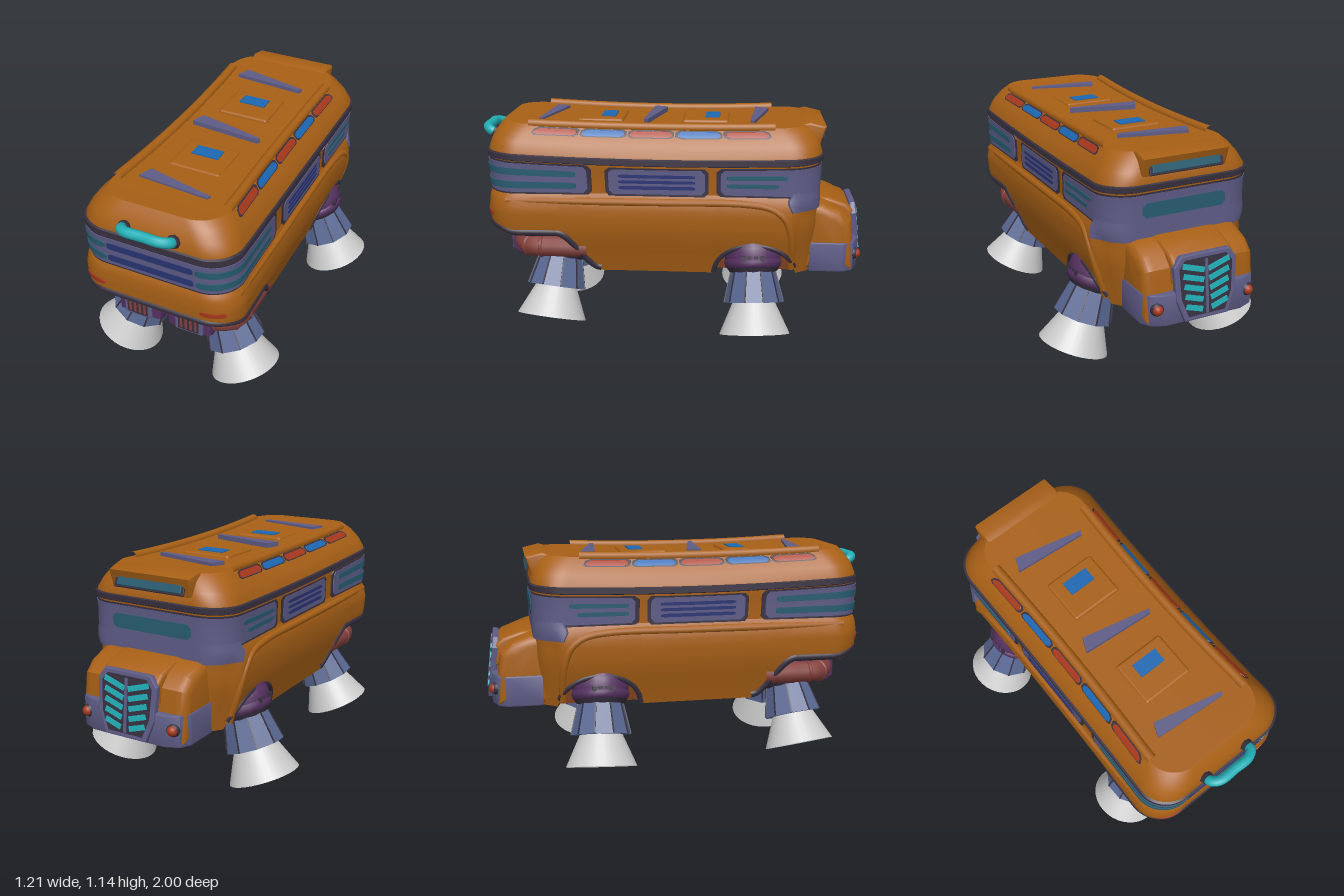
import * as THREE from 'three';
import { toCreasedNormals } from 'three/addons/utils/BufferGeometryUtils.js';
import { RoundedBoxGeometry } from 'three/addons/geometries/RoundedBoxGeometry.js';

const C = { orange: 0xa86016, brown: 0x7a3d1c, dark: 0x37303f, frame: 0x5e5c86, slate: 0x586792, purple: 0x553060,
  red: 0x84403c, lamp: 0xa8381c, cyan: 0x22b0b8, blue: 0x1c68b4, glass: 0x2a3474, teal: 0x285c70, grey: 0xcccccc };
const mats = {};
const mat = (c) => (mats[c] ??= new THREE.MeshStandardMaterial({ color: C[c] }));
const V = (x, y, z) => new THREE.Vector3(x, y, z);
const sm = THREE.MathUtils.smoothstep;

function add(parent, name, geo, color, p = [0, 0, 0], r = [0, 0, 0]) {
  const m = new THREE.Mesh(geo, mat(color));
  m.name = name;
  m.position.set(...p);
  m.rotation.set(...r);
  parent.add(m);
  return m;
}

// Body silhouette: height, half width, +z end, -z end
const PROFILE = [[0.36, 0.35, 0.9, -0.75], [0.46, 0.378, 0.91, -0.75], [0.56, 0.408, 0.92, -0.75], [0.62, 0.418, 0.93, -0.755], [0.70, 0.422, 0.935, -0.755],
  [0.76, 0.41, 0.93, -0.755], [0.79, 0.395, 0.915, -0.755], [0.93, 0.395, 0.922, -0.755], [0.97, 0.402, 0.925, -0.765],
  [1.0, 0.398, 0.925, -0.765], [1.05, 0.375, 0.91, -0.75], [1.1, 0.342, 0.88, -0.725], [1.13, 0.312, 0.855, -0.7]];

// Point on the body skin. s runs from the +z centre (0) along +x to the -z centre (1), negative s is the -x side.
function skin(s, y, off = 0) {
  if (s > 1) s -= 2;
  const a = Math.abs(s), sg = Math.sign(s), R = 0.16;
  let i = 0;
  while (i < PROFILE.length - 2 && y > PROFILE[i + 1][0]) i++;
  const A = PROFILE[i], B = PROFILE[i + 1];
  const k = THREE.MathUtils.clamp((y - A[0]) / (B[0] - A[0]), 0, 1);
  const hw = A[1] + (B[1] - A[1]) * k + off, z0 = A[2] + (B[2] - A[2]) * k + off, z1 = A[3] + (B[3] - A[3]) * k - off;
  let x, z;
  if (a < 0.12) { x = (hw - R) * a / 0.12; z = z0; }
  else if (a < 0.25) { const t = (a - 0.12) / 0.13 * Math.PI / 2; x = hw - R + R * Math.sin(t); z = z0 - R + R * Math.cos(t); }
  else if (a < 0.8) { x = hw; z = z0 - R + (z1 - z0 + 2 * R) * (a - 0.25) / 0.55; }
  else if (a < 0.9) { const t = (a - 0.8) / 0.1 * Math.PI / 2; x = hw - R + R * Math.cos(t); z = z1 + R - R * Math.sin(t); }
  else { x = (hw - R) * (1 - a) / 0.1; z = z1; }
  const mid = Math.max(0, 1 - (z / 0.85) ** 2);
  x *= 1 - (0.03 + 0.07 * sm(y, 0.97, 1.13)) * mid;
  x *= 1 - 0.07 * sm(-z, 0.61, 0.68) * (1 - sm(y, 0.7, 0.78)); // cowl behind the fender
  return V(sg * x, y - 0.025 * sm(y, 0.8, 0.95) * mid, z);
}
const sOf = (z) => 0.25 + (0.77 - z) / 1.37 * 0.55;

// Lower edge: raised over the engines, arched over the other thrusters
function bottom(z) {
  const d = (z + 0.44) / 0.21;
  if (Math.abs(d) < 1) return 0.365 + 0.16 * Math.sqrt(1 - d * d);
  return 0.365 + 0.2 * sm(z, 0.37, 0.57) + 0.035 * sm(z, 0.78, 0.92);
}
const edge = (s, lift = 0, off = 0) => skin(s, bottom(skin(s, 0.56).z) + lift, off);

function grid(nu, nv, fn) {
  const pos = [], idx = [];
  for (let j = 0; j <= nv; j++) for (let i = 0; i <= nu; i++) pos.push(...fn(i, j).toArray());
  for (let j = 0; j < nv; j++) for (let i = 0; i < nu; i++) {
    const a = j * (nu + 1) + i, c = a + nu + 1;
    idx.push(a, a + 1, c, a + 1, c + 1, c);
  }
  const g = new THREE.BufferGeometry();
  g.setAttribute('position', new THREE.Float32BufferAttribute(pos, 3));
  g.setIndex(idx);
  return toCreasedNormals(g, 0.5);
}

// Raised panel hugging the skin, with chamfered corners
function panel(g, name, color, s0, s1, y0, y1, off, inset = 0.02) {
  const n = Math.max(4, Math.ceil((s1 - s0) * 90)), e = Math.min(0.008, (s1 - s0) / 5);
  const cols = [[s0, inset, 1], [s0, inset, 0]];
  for (let i = 0; i <= n; i++) cols.push([s0 + e + (s1 - s0 - 2 * e) * i / n, 0, 0]);
  cols.push([s1, inset, 0], [s1, inset, 1]);
  const rows = [[0, 1], [0, 0], [0.33, 0], [0.67, 0], [1, 0], [1, 1]];
  return add(g, name, grid(cols.length - 1, 5, (i, j) => {
    const [s, q, sink] = cols[i], [t, rs] = rows[j];
    return skin(s, y0 + q + (y1 - y0 - 2 * q) * t, sink || rs ? -0.015 : off);
  }), color);
}
function tube(g, name, color, pts, r, n = 48) {
  return add(g, name, new THREE.TubeGeometry(new THREE.CatmullRomCurve3(pts), n, r, 10), color);
}
const path = (s0, s1, n, fn) => Array.from({ length: n + 1 }, (_, i) => fn(s0 + (s1 - s0) * i / n));
const shape = (pts) => new THREE.Shape(pts.map((p) => new THREE.Vector2(...p)));

// Extrude a (z, y) side profile across x
function across(pts, hw, bevel) {
  const sh = shape(pts.map(([z, y]) => [-z, y]));
  const e = new THREE.ExtrudeGeometry(sh, { depth: 2 * (hw - bevel), bevelThickness: bevel, bevelSize: bevel, bevelOffset: -bevel, bevelSegments: 3 });
  return toCreasedNormals(e.translate(0, 0, -hw + bevel).rotateY(Math.PI / 2), 0.6);
}

const nozzleMat = new THREE.MeshStandardMaterial({ color: 0xcccccc, side: THREE.DoubleSide });
function thruster(foot, dir) {
  const g = new THREE.Group();
  g.name = 'thruster';
  add(g, 'nozzle', new THREE.CylinderGeometry(0.1, 0.18, 0.18, 32, 1, true), 'grey', [0, 0.09, 0]).material = nozzleMat;
  add(g, 'igniter', new THREE.SphereGeometry(0.06, 16, 10), 'purple', [0, 0.16, 0]);
  const skirt = new THREE.CylinderGeometry(0.115, 0.152, 0.16, 10).toNonIndexed();
  skirt.computeVertexNormals();
  add(g, 'skirt', skirt, 'slate', [0, 0.24, 0]);
  for (let i = 0; i < 10; i++) {
    const a = i / 10 * Math.PI * 2, rib = add(g, 'skirtRib', new THREE.BoxGeometry(0.007, 0.16, 0.008), 'dark');
    rib.position.set(Math.sin(a) * 0.133, 0.24, Math.cos(a) * 0.133);
    rib.rotation.set(-0.23, a, 0, 'YXZ');
  }
  add(g, 'collar', new THREE.CylinderGeometry(0.135, 0.12, 0.02, 24), 'dark', [0, 0.327, 0]);
  add(g, 'hubRing', new THREE.TorusGeometry(0.112, 0.036, 10, 32), 'purple', [0, 0.365, 0], [Math.PI / 2, 0, 0]);
  add(g, 'hub', new THREE.SphereGeometry(0.145, 24, 16), 'purple', [0, 0.405, 0]);
  g.position.copy(foot);
  g.quaternion.setFromUnitVectors(V(0, 1, 0), dir.normalize());
  return g;
}

export function createModel() {
  const g = new THREE.Group();
  g.name = 'rocketBus';
  const N = 240, sAt = (i) => -1 + 2 * i / N;

  // Body shell
  const upper = PROFILE.slice(6).map((p) => p[0]);
  add(g, 'lowerBody', grid(N, 10, (i, j) => {
    const b = edge(sAt(i)).y;
    return skin(sAt(i), b + (0.79 - b) * j / 10);
  }), 'orange');
  add(g, 'upperBody', grid(N, upper.length - 1, (i, j) => skin(sAt(i), upper[j])), 'orange');
  add(g, 'roof', grid(N / 2, 2, (i, j) => { const p = skin(2 * i / N, 1.13); p.x *= 1 - j; return p; }), 'orange');
  add(g, 'underside', grid(N / 2, 2, (i, j) => { const p = edge(2 * i / N); p.x *= j - 1; return p; }), 'brown');
  add(g, 'floor', new THREE.BoxGeometry(0.54, 0.22, 1.09), 'brown', [0, 0.475, -0.165]);
  add(g, 'belt', grid(N, 3, (i, j) => skin(sAt(i), [0.952, 0.962, 0.988, 1.0][j], [-0.01, 0.008, 0.008, -0.01][j])), 'dark');
  const sr = sOf(0.37);
  tube(g, 'lowerTrim', 'dark', path(-sr, sr, 90, (s) => edge(s, 0.018, -0.01)), 0.02, 150);

  // Windows wrapping both ends
  const w = sOf(0.39), f = sOf(-0.24);
  panel(g, 'tailWindowFrame', 'dark', -w, w, 0.785, 0.955, 0.004);
  panel(g, 'tailWindow', 'frame', -w + 0.008, w - 0.008, 0.794, 0.947, 0.008);
  for (const y of [0.815, 0.885]) {
    panel(g, 'tailGlass', 'glass', -0.108, 0.108, y, y + 0.035, 0.012, 0.005);
    for (const m of [1, -1]) panel(g, 'tailSideGlass', 'teal', ...[m * 0.114, m * (w - 0.03)].sort((a, b) => a - b), y, y + 0.035, 0.012, 0.005);
  }
  panel(g, 'windshieldFrame', 'dark', f, 2 - f, 0.785, 0.95, 0.004);
  panel(g, 'windshieldSurround', 'frame', f + 0.008, 2 - f - 0.008, 0.794, 0.942, 0.008);
  panel(g, 'windshieldSill', 'frame', 0.8, 1.2, 0.715, 0.81, 0.008, 0.04);
  panel(g, 'windshield', 'teal', 0.91, 1.09, 0.825, 0.9, 0.013, 0.02);

  for (const m of [1, -1]) {
    const side = (name, c, z0, z1, ...rest) => {
      const a = m * sOf(z0), b = m * sOf(z1);
      panel(g, name, c, Math.min(a, b), Math.max(a, b), ...rest);
    };
    // Side windows with slats
    side('sideWindowFrame', 'dark', 0.32, -0.2, 0.782, 0.948, 0.004);
    side('sideWindow', 'frame', 0.3, -0.18, 0.792, 0.94, 0.009);
    side('cabWindow', 'teal', -0.29, -0.58, 0.885, 0.91, 0.013, 0.004);
    side('cabWindow', 'teal', -0.29, -0.54, 0.835, 0.86, 0.013, 0.004);
    for (let i = 0; i < 3; i++) side('windowSlat', 'glass', 0.25, -0.13, 0.818 + i * 0.037, 0.838 + i * 0.037, 0.013, 0.004);
    // Roof rail and lights
    for (let i = 0; i < 5; i++) {
      const z = 0.72 - i * 0.255;
      side('roofLightFrame', 'dark', z + 0.012, z - 0.235, 1.085, 1.121, 0.001, 0.008);
      side('roofLight', i % 2 ? 'blue' : 'lamp', z, z - 0.223, 1.09, 1.116, 0.004, 0.008);
    }
    tube(g, 'roofRail', 'orange', path(m * 0.235, m * 0.8, 24, (s) => skin(s, 1.13, -0.015)), 0.025);
    // Fender ridge and wheel arch
    const ridge = [[0.85, 0.75], [0.4, 0.75], [0, 0.75], [-0.4, 0.75], [-0.53, 0.73], [-0.6, 0.68], [-0.635, 0.58], [-0.645, 0.4]];
    tube(g, 'fenderRidge', 'orange', ridge.map(([z, y]) => skin(m * sOf(z), y, -0.01)), 0.02);
    tube(g, 'archTrim', 'dark', path(m * sOf(-0.23), m * sOf(-0.655), 28, (s) => edge(s, 0.006, -0.003)), 0.013);
    // Tail lamps
    panel(g, 'tailLamp', 'lamp', ...[m * 0.115, m * 0.18].sort((a, b) => a - b), 0.66, 0.685, 0.004, 0.004);

    // Thrusters
    g.add(thruster(V(m * 0.34, 0.095, 0.622), V(m * -0.38, 0.91, -0.11)));
    g.add(thruster(V(m * 0.435, 0.072, -0.447), V(m * -0.36, 0.93, 0.04)));
    for (let i = 0; i < 4; i++) add(g, 'hubVent', new THREE.BoxGeometry(0.02, 0.025, 0.02), 'dark', [m * 0.422, 0.475, -0.38 - i * 0.032], [0, 0, m * 0.2]);

    // Engine block, vent and exhaust pipe
    const block = [[0.5, 0.43], [0.5, 0.55], [0.8, 0.555], [0.835, 0.53], [0.835, 0.435], [0.8, 0.41]];
    add(g, 'engineBlock', across(block, 0.115, 0.015), 'purple', [m * 0.135, 0, 0]);
    add(g, 'ventFrame', new RoundedBoxGeometry(0.15, 0.115, 0.02, 2, 0.009), 'frame', [m * 0.14, 0.485, 0.836]);
    add(g, 'ventRecess', new THREE.BoxGeometry(0.11, 0.085, 0.01), 'dark', [m * 0.14, 0.485, 0.844]);
    for (let i = 0; i < 4; i++) add(g, 'ventBar', new THREE.CapsuleGeometry(0.009, 0.058, 4, 8), 'red', [m * (0.101 + i * 0.026), 0.485, 0.845]);
    const pipe = [V(m * 0.2, 0.488, 0.755), V(m * 0.27, 0.488, 0.755), V(m * 0.325, 0.488, 0.71), V(m * 0.335, 0.488, 0.6), V(m * 0.335, 0.488, 0.42)];
    tube(g, 'exhaustPipe', 'red', pipe, 0.055);
    const curve = new THREE.CatmullRomCurve3(pipe);
    for (const t of [0.12, 0.3, 0.45]) {
      const rib = add(g, 'pipeRib', new THREE.TorusGeometry(0.05, 0.01, 8, 24), 'red');
      rib.position.copy(curve.getPointAt(t));
      rib.quaternion.setFromUnitVectors(V(0, 0, 1), curve.getTangentAt(t));
    }
    // Head lamps and handle mounts
    add(g, 'headLampRim', new THREE.SphereGeometry(0.034, 16, 10), 'dark', [m * 0.24, 0.455, -0.945]);
    add(g, 'headLamp', new THREE.SphereGeometry(0.026, 16, 10), 'lamp', [m * 0.243, 0.455, -0.96]);
    add(g, 'handleMount', new THREE.CylinderGeometry(0.03, 0.036, 0.04, 8), 'dark', [m * 0.125, 1.035, 0.918], [1.1, 0, 0]);
  }
  add(g, 'centrePipe', new THREE.CylinderGeometry(0.055, 0.055, 0.16, 16), 'red', [0, 0.485, 0.74], [0, 0, Math.PI / 2]);
  tube(g, 'handle', 'cyan', [[-0.125, 1.03, 0.91], [-0.122, 1.05, 0.95], [-0.085, 1.06, 0.974], [0, 1.062, 0.975],
    [0.085, 1.06, 0.974], [0.122, 1.05, 0.95], [0.125, 1.03, 0.91]].map((p) => V(...p)), 0.025);

  // Hood and bumper
  add(g, 'hood', across([[-0.68, 0.37], [-0.68, 0.735], [-0.78, 0.725], [-0.87, 0.69], [-0.925, 0.635], [-0.945, 0.5], [-0.95, 0.37]], 0.295, 0.05), 'orange');
  add(g, 'hoodRidge', across([[-0.7, 0.6], [-0.74, 0.735], [-0.82, 0.725], [-0.91, 0.695], [-0.95, 0.66], [-0.955, 0.55]], 0.165, 0.02), 'orange');
  const plan = shape([[-0.29, 0.73], [0.29, 0.73], [0.29, 0.89], [0.265, 0.935], [0.2, 0.962], [-0.2, 0.962], [-0.265, 0.935], [-0.29, 0.89]]);
  const bumper = new THREE.ExtrudeGeometry(plan, { depth: 0.14, bevelThickness: 0.01, bevelSize: 0.01, bevelSegments: 2 });
  add(g, 'bumper', toCreasedNormals(bumper.rotateX(-Math.PI / 2), 0.6), 'frame', [0, 0.377, 0]);

  // Grille leaning back at the top
  const grille = new THREE.Group();
  grille.name = 'grille';
  const shield = shape([[-0.11, -0.15], [0.11, -0.15], [0.15, -0.05], [0.16, 0.11], [0.125, 0.155], [-0.125, 0.155], [-0.16, 0.11], [-0.15, -0.05]]);
  add(grille, 'grillePlate', new THREE.ExtrudeGeometry(shield, { depth: 0.02, bevelThickness: 0.006, bevelSize: 0.006, bevelSegments: 2 }), 'frame');
  add(grille, 'grilleRecess', new THREE.ShapeGeometry(shield).scale(0.88, 0.9, 1), 'dark', [0, 0, 0.0275]);
  for (const m of [1, -1]) for (let i = 0; i < 5; i++) {
    add(grille, 'grilleSlat', new THREE.BoxGeometry(0.118 - (4 - i) * 0.007, 0.026, 0.01), 'cyan', [m * 0.067, -0.095 + i * 0.048, 0.027], [0, 0, m * 0.3]);
  }
  add(grille, 'grilleBar', new THREE.BoxGeometry(0.014, 0.26, 0.014), 'frame', [0, 0, 0.027]);
  grille.position.set(0, 0.533, -0.952);
  grille.rotation.set(-0.11, Math.PI, 0, 'YXZ');
  g.add(grille);

  // Roof sign
  add(g, 'signBox', across([[-0.64, 1.04], [-0.66, 1.12], [-0.7, 1.132], [-0.785, 1.112], [-0.755, 1.015]], 0.225, 0.012), 'orange');
  add(g, 'signFrame', new RoundedBoxGeometry(0.39, 0.07, 0.012, 2, 0.005), 'dark', [0, 1.063, -0.77], [0.3, 0, 0]);
  add(g, 'signPanel', new RoundedBoxGeometry(0.36, 0.048, 0.012, 2, 0.005), 'teal', [0, 1.063, -0.774], [0.3, 0, 0]);

  // Roof fins and hatches
  const fin = shape([[-0.17, 0.065], [-0.2, -0.005], [0.17, -0.035], [0.18, -0.015]]);
  for (const z of [-0.44, 0.105, 0.645]) {
    add(g, 'roofFin', new THREE.ExtrudeGeometry(fin, { depth: 0.03, bevelEnabled: false }).rotateX(-Math.PI / 2), 'frame', [0, 1.1, z]);
  }
  for (const z of [-0.175, 0.37]) {
    add(g, 'hatch', new RoundedBoxGeometry(0.27, 0.03, 0.24, 3, 0.014), 'orange', [0, 1.105, z]);
    add(g, 'hatchWindow', new THREE.BoxGeometry(0.14, 0.02, 0.075), 'blue', [0, 1.115, z - 0.035]);
  }
  return g;
}
